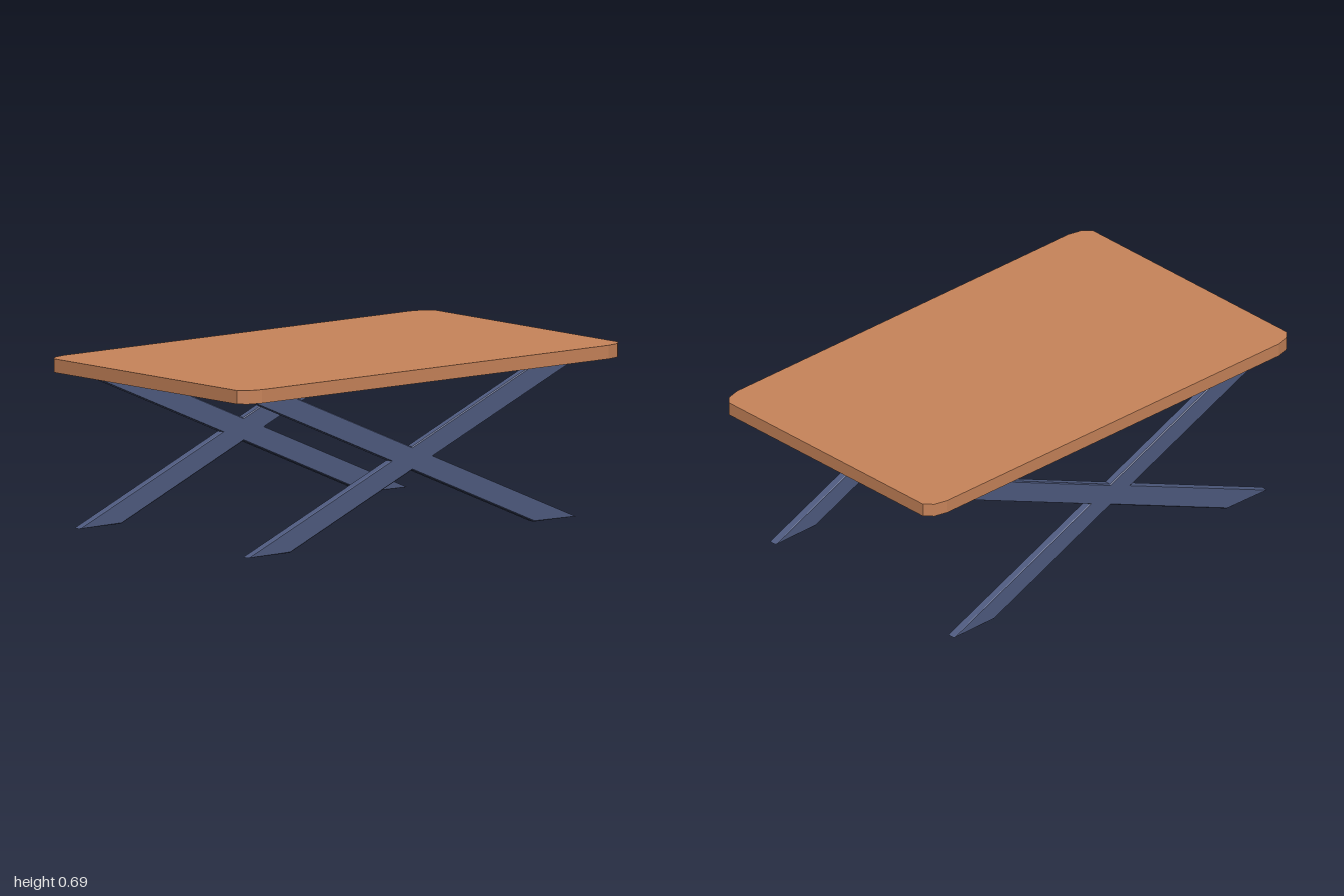
import * as THREE from 'three';

const TOP_Y = 0.69, UNDER_Y = 0.635;

// Mirror a quarter outline into a closed, counter-clockwise shape
function mirroredShape(quarter) {
  const flip = (sx, sy) => quarter.map(([x, y]) => new THREE.Vector2(x * sx, y * sy));
  return new THREE.Shape([
    ...flip(1, 1), ...flip(-1, 1).reverse(),
    ...flip(-1, -1), ...flip(1, -1).reverse(),
  ]);
}

// Flat board with faceted corners
function tabletopGeometry() {
  const shape = mirroredShape([[1, 0.56], [0.968, 0.592], [0.91, 0.606]]);
  const geometry = new THREE.ExtrudeGeometry(shape, { depth: TOP_Y - UNDER_Y, bevelEnabled: false });
  geometry.rotateX(-Math.PI / 2);
  geometry.translate(0, UNDER_Y, 0);
  return geometry;
}

// Crossed bars as one outline, with finely chamfered edges
function crossLegGeometry() {
  const h = UNDER_Y / 2, outer = 0.86, inner = 0.64;
  const centre = (outer - inner) / 2;
  const rise = UNDER_Y / (outer + inner);
  const notchY = outer * rise - h;
  const shape = new THREE.Shape([
    [centre, 0], [outer, h], [inner, h], [0, notchY],
    [-inner, h], [-outer, h], [-centre, 0], [-outer, -h],
    [-inner, -h], [0, -notchY], [inner, -h], [outer, -h],
  ].map(([x, y]) => new THREE.Vector2(x, y)));
  const chamfer = 0.004, thickness = 0.035;
  const geometry = new THREE.ExtrudeGeometry(shape, {
    depth: thickness - 2 * chamfer,
    bevelThickness: chamfer, bevelSize: chamfer, bevelOffset: -chamfer, bevelSegments: 1,
  });
  geometry.translate(0, h, chamfer - thickness / 2);
  return geometry;
}

export function createModel() {
  const model = new THREE.Group();
  model.name = 'table';
  const wood = new THREE.MeshStandardMaterial({ color: 0xc8845a });
  wood.name = 'warm wood';
  const blue = new THREE.MeshStandardMaterial({ color: 0x4f5b80 });
  blue.name = 'slate blue';

  const top = new THREE.Mesh(tabletopGeometry(), wood);
  top.name = 'tabletop';
  model.add(top);

  // Leg frames sit slightly off centre under the board
  const legGeometry = crossLegGeometry();
  for (const [name, z] of [['frontCrossLegs', 0.498], ['backCrossLegs', -0.532]]) {
    const legs = new THREE.Mesh(legGeometry, blue);
    legs.name = name;
    legs.position.set(-0.042, 0, z);
    model.add(legs);
  }
  return model;
}
